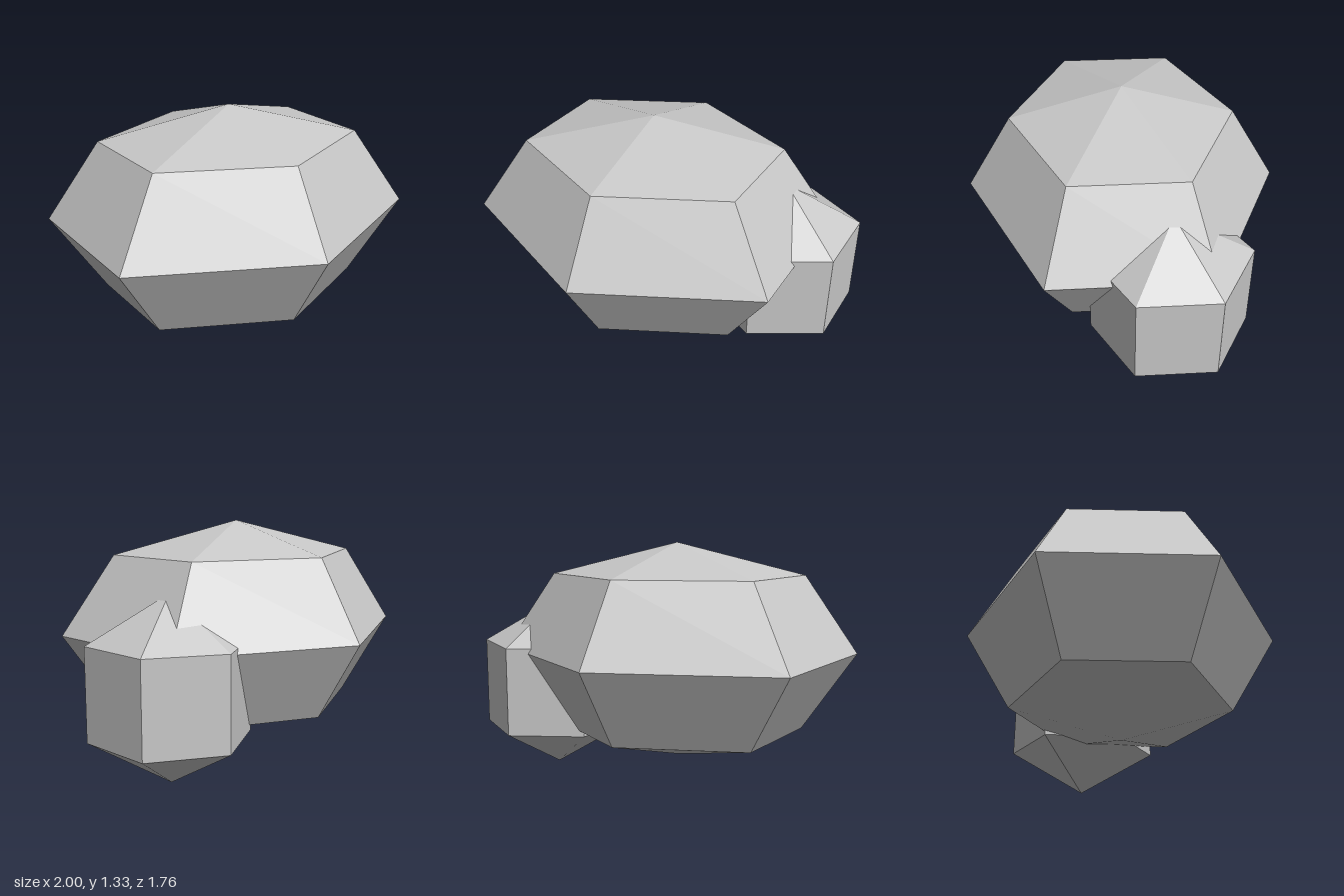
import * as THREE from 'three';

// Six-sided faceted boulder with corners pointing along z
function boulder(name, rings, position, scale, material) {
  const geometry = new THREE.SphereGeometry(1, 6, rings);
  geometry.rotateY(Math.PI / 2);
  geometry.scale(...scale);
  const mesh = new THREE.Mesh(geometry, material);
  mesh.name = name;
  mesh.position.set(...position);
  return mesh;
}

export function createModel() {
  const group = new THREE.Group();
  group.name = 'rocks';
  const stone = new THREE.MeshStandardMaterial({ color: 0xc8c8c8, flatShading: true });
  stone.name = 'stone grey';

  // Wide main rock, and a smaller upright one sunk into its side
  group.add(
    boulder('largeRock', 4, [-0.087, 0.717, 0], [1.054, 0.614, 0.878], stone),
    boulder('smallRock', 3, [0.627, 0.497, -0.218], [0.497, 0.497, 0.497], stone)
  );
  return group;
}
